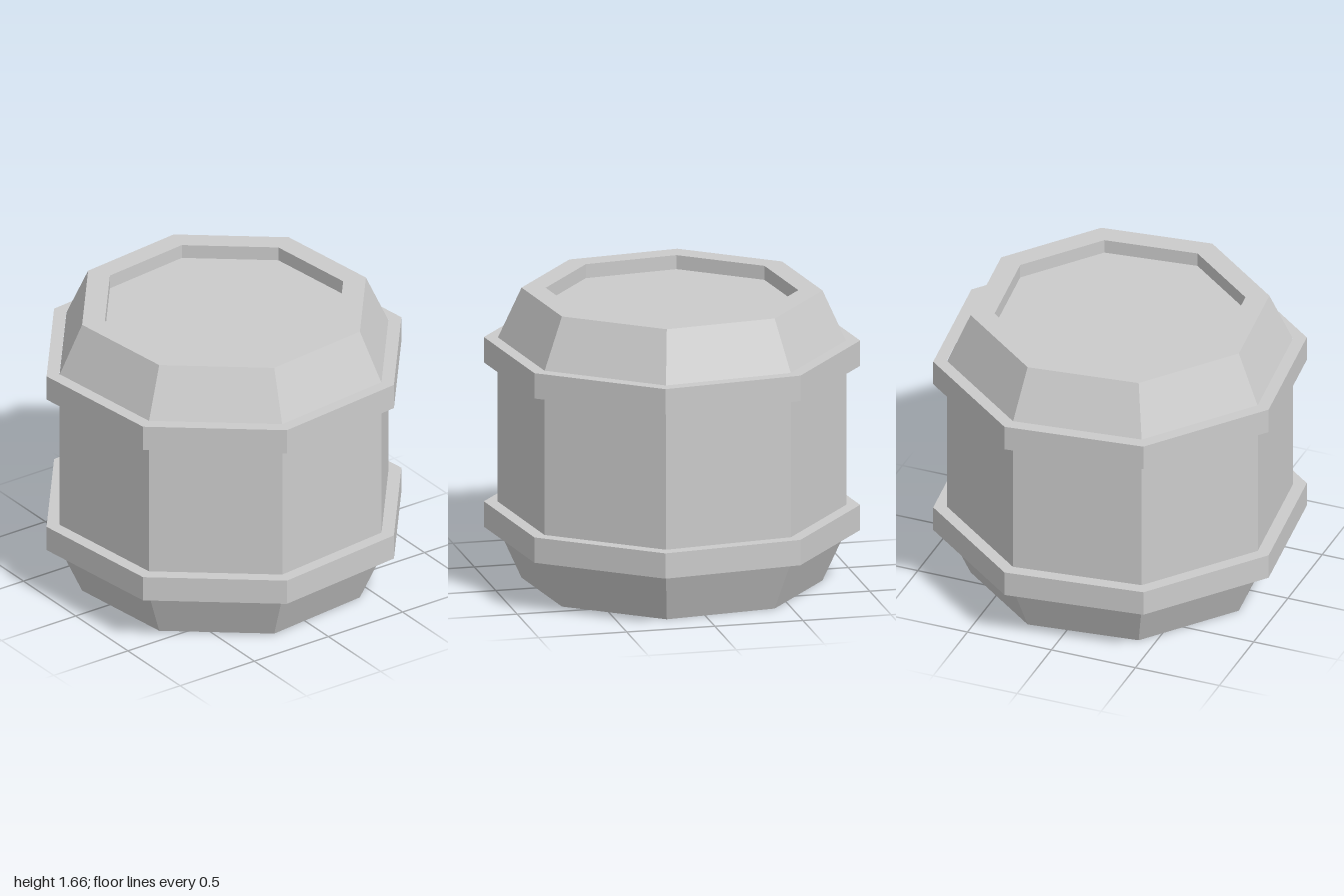
import * as THREE from 'three';

const SIDES = 8;
const TURN = THREE.MathUtils.degToRad(29.35); // twist of the octagon about y

const material = new THREE.MeshStandardMaterial({ color: 0xcccccc, flatShading: true });

// Eight-sided solid of revolution from [radius, height] pairs, bottom to top
function octagonLathe(name, profile) {
  const points = profile.map(([r, y]) => new THREE.Vector2(r, y));
  const mesh = new THREE.Mesh(new THREE.LatheGeometry(points, SIDES, TURN), material);
  mesh.name = name;
  return mesh;
}

export function createModel() {
  const group = new THREE.Group();
  group.name = 'barrel';

  const bodyR = 0.962, endR = 0.83, lidR = 0.697, bandR = 1.038;
  const height = 1.66, bandH = 0.145;

  // Body with tapered ends, a rim and a sunken lid
  group.add(octagonLathe('barrelBody', [
    [0, 0], [endR, 0],
    [bodyR, 0.29], [bodyR, height - 0.29],
    [endR, height], [lidR, height],
    [lidR, height - 0.08], [0, height - 0.08],
  ]));

  // Raised hoops where the tapers meet the straight wall
  for (const [name, y] of [['lowerHoop', 0.29], ['upperHoop', 1.23]]) {
    group.add(octagonLathe(name, [
      [bodyR, y], [bandR, y], [bandR, y + bandH], [bodyR, y + bandH],
    ]));
  }

  return group;
}
